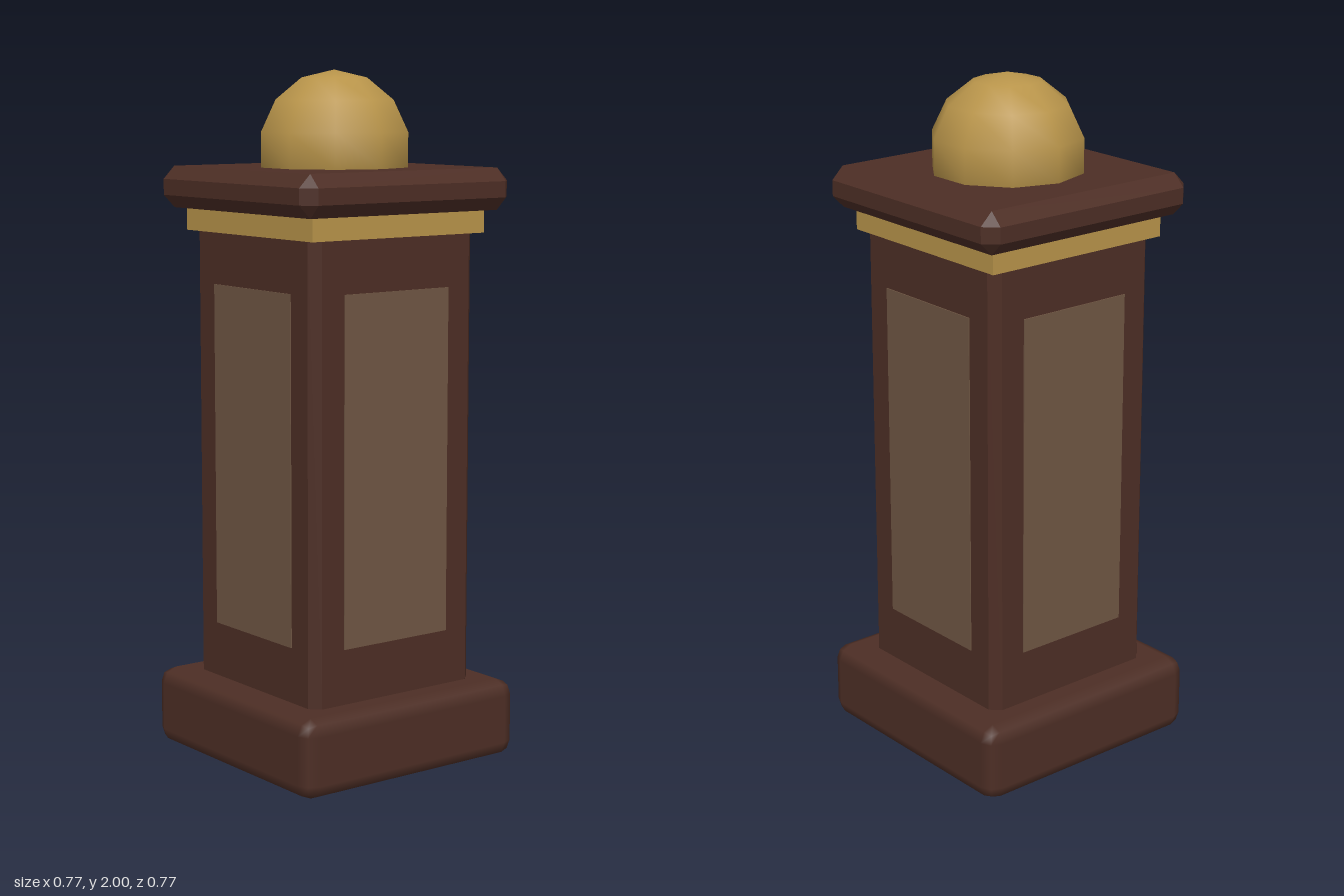
import * as THREE from 'three';
import { RoundedBoxGeometry } from 'three/addons/geometries/RoundedBoxGeometry.js';
import { ConvexGeometry } from 'three/addons/geometries/ConvexGeometry.js';

// Box with every edge cut by a single flat bevel
function chamferBox(w, h, d, c) {
  const points = [];
  const [x, y, z] = [w / 2, h / 2, d / 2];
  for (const sx of [-1, 1]) for (const sy of [-1, 1]) for (const sz of [-1, 1]) {
    points.push(
      new THREE.Vector3(sx * x, sy * (y - c), sz * (z - c)),
      new THREE.Vector3(sx * (x - c), sy * y, sz * (z - c)),
      new THREE.Vector3(sx * (x - c), sy * (y - c), sz * z)
    );
  }
  return new ConvexGeometry(points);
}

export function createModel() {
  const model = new THREE.Group();
  model.name = 'newelPost';

  const wood = new THREE.MeshStandardMaterial({ name: 'darkWood', color: 0x4d2e25 });
  const panelWood = new THREE.MeshStandardMaterial({ name: 'paleWood', color: 0x6f5643 });
  const brass = new THREE.MeshStandardMaterial({ name: 'brass', color: 0xb8944a });

  const add = (name, geometry, material, y) => {
    const mesh = new THREE.Mesh(geometry, material);
    mesh.name = name;
    mesh.position.y = y;
    model.add(mesh);
    return mesh;
  };

  // Plinth and shaft
  add('base', new RoundedBoxGeometry(0.766, 0.23, 0.766, 1, 0.045), wood, 0.115);
  add('shaft', chamferBox(0.58, 1.4, 0.58, 0.028), wood, 0.89);

  // One inset panel on each of the four sides
  for (let i = 0; i < 4; i++) {
    const angle = i * Math.PI / 2;
    const panel = add('panel' + (i + 1), new THREE.BoxGeometry(0.37, 1, 0.006), panelWood, 0.89);
    panel.position.x = Math.sin(angle) * 0.29;
    panel.position.z = Math.cos(angle) * 0.29;
    panel.rotation.y = angle;
  }

  // Collar, cap and ball finial
  add('collar', new THREE.BoxGeometry(0.61, 0.07, 0.61), brass, 1.575);
  add('cap', chamferBox(0.735, 0.12, 0.735, 0.037), wood, 1.665);
  const ball = add('ballFinial', new THREE.SphereGeometry(0.225, 10, 7), brass, 1.775);
  ball.rotation.y = Math.PI / 2;

  return model;
}
